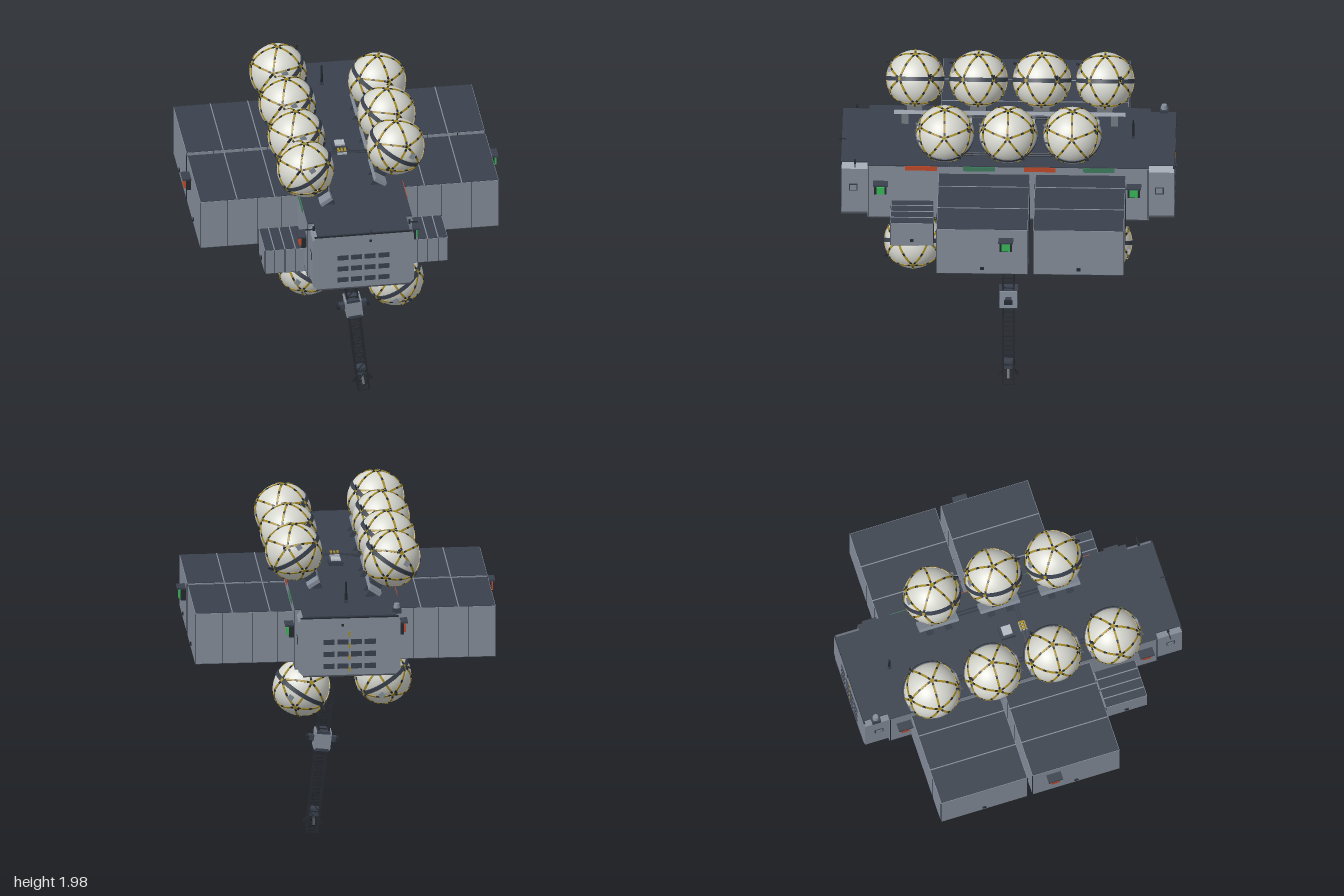
import * as THREE from 'three';
import { mergeGeometries } from 'three/addons/utils/BufferGeometryUtils.js';

const material = (name, color) => {
  const m = new THREE.MeshStandardMaterial({ color });
  m.name = name;
  return m;
};
const V = (x, y, z) => new THREE.Vector3(x, y, z);

export function createModel() {
  const grey = material('hull grey', 0x848d9a);
  const dark = material('deck slate', 0x3a414d);
  const belly = material('belly slate', 0x4a505a);
  const black = material('truss black', 0x252a31);
  const cream = material('tank cream', 0xd5d6ce);
  const yellow = material('band yellow', 0xa58b24);
  const green = material('signal green', 0x38b757);
  const red = material('signal red', 0xc04a2a);
  const teal = material('marker green', 0x3d7d5c);
  const pale = material('hatch pale', 0xb4bac2);

  const model = new THREE.Group();
  model.name = 'tankerStation';

  const add = (parent, name, geo, mat, x = 0, y = 0, z = 0) => {
    const mesh = new THREE.Mesh(geo, mat);
    mesh.name = name;
    mesh.position.set(x, y, z);
    parent.add(mesh);
    return mesh;
  };
  const box = (parent, name, mat, w, h, d, x, y, z) =>
    add(parent, name, new THREE.BoxGeometry(w, h, d), mat, x, y, z);
  // Geometry of a square bar between two points
  const bar = (a, b, w, h = w, up = V(0.01, 0.02, 1)) => {
    const g = new THREE.BoxGeometry(w, h, a.distanceTo(b));
    const m = new THREE.Matrix4().lookAt(b, a, up);
    return g.applyMatrix4(m.setPosition(a.clone().add(b).multiplyScalar(0.5)));
  };

  // ---- Hull: wide middle and chamfered ends
  const hull = new THREE.Group();
  hull.name = 'hull';
  model.add(hull);
  box(hull, 'hullMiddle', grey, 0.6, 0.35, 1.6, 0, 1.43, -0.01);
  const section = new THREE.Shape([[-0.29, 1.28], [-0.265, 1.255], [0.265, 1.255], [0.29, 1.28],
    [0.29, 1.575], [0.265, 1.603], [-0.265, 1.603], [-0.29, 1.575]].map(p => new THREE.Vector2(...p)));
  add(hull, 'hullEnds', new THREE.ExtrudeGeometry(section, { depth: 1.89, bevelEnabled: false }), grey, 0, 0, -0.952);
  for (const [y, mat] of [[1.607, dark], [1.253, belly]]) {
    box(hull, 'deckPlate', mat, 0.6, 0.008, 1.6, 0, y, -0.01);
    box(hull, 'endDeckPlate', mat, 0.53, 0.008, 1.894, 0, y, -0.007);
  }
  for (const s of [-1, 1]) {
    // louvres on both end faces
    const zEnd = s > 0 ? 0.938 : -0.952;
    for (let i = 0; i < 4; i++) for (let j = 0; j < 3; j++)
      box(hull, 'louvre', dark, 0.063, 0.03, 0.006, -0.118 + i * 0.078, 1.31 + j * 0.072, zEnd);
    box(hull, 'endTopTrim', black, 0.56, 0.008, 0.008, 0, 1.6, zEnd);
    box(hull, 'endPort', black, 0.014, 0.014, 0.006, 0.04, 1.555, zEnd);
    // side markers, alternating along the hull
    [0.485, 0.155, -0.19, -0.525].forEach((z, i) =>
      box(hull, 'sideMarker', i % 2 ? teal : red, 0.008, 0.028, 0.18, s * 0.301, 1.592, z * s));
    for (const z of [0.785, -0.805])
      box(hull, 'sideSeam', black, 0.005, 0.34, 0.004, s * 0.299, 1.43, z);
    for (const z of [0.87, -0.87]) {
      box(hull, 'sidePanelFrame', dark, 0.005, 0.045, 0.05, s * 0.291, 1.45, z);
      box(hull, 'sidePanel', grey, 0.006, 0.033, 0.038, s * 0.292, 1.45, z);
    }
  }
  for (let i = 0; i < 4; i++)
    box(hull, 'backStripe', yellow, 0.012, 0.028, 0.004, 0, 1.29 + i * 0.07, -0.952);

  // ---- Cargo containers and small lockers
  const container = (name, s, x0, x1, y0, y1, z0, z1, ribs, seams) => {
    const g = new THREE.Group();
    g.name = name;
    model.add(g);
    const w = x1 - x0, h = y1 - y0, d = z1 - z0;
    const cx = s * (x0 + x1) / 2, cy = (y0 + y1) / 2, cz = (z0 + z1) / 2;
    box(g, 'containerBody', grey, w, h, d, cx, cy, cz);
    box(g, 'containerRoof', dark, w - 0.006, 0.006, d - 0.006, cx, y1, cz);
    box(g, 'containerFloor', belly, w - 0.002, 0.006, d - 0.002, cx, y0, cz);
    for (const x of ribs) box(g, 'topRib', grey, 0.006, 0.009, d, s * x, y1, cz);
    for (const x of seams) box(g, 'endSeam', black, 0.003, h, d + 0.003, s * x, cy, cz);
    box(g, 'sideLatch', black, 0.012, 0.018, 0.022, s * x1, y0 + 0.035, cz);
    for (const z of [z0, z1]) box(g, 'sideEdge', black, 0.004, h, 0.004, s * x1, cy, z);
  };
  for (const s of [-1, 1]) {
    const ribs = [0.43, 0.645], seams = [0.39, 0.53, 0.7];
    container('rearContainer', s, 0.3, 0.857, 1.255, 1.555, -0.68, -0.165, ribs, seams);
    container('middleContainer', s, 0.3, 0.857, 1.255, 1.555, -0.135, 0.385, ribs, seams);
    container('frontLocker', s, 0.29, 0.525, 1.215, 1.365, 0.41, 0.655, [0.35, 0.41, 0.47], [0.35, 0.41, 0.47]);

    // navigation lights: green on the left, red on the right
    for (const [x, z] of [[0.3, 0.715], [0.3, -0.725], [0.857, -0.01]]) {
      const g = new THREE.Group();
      g.name = 'navigationLight';
      model.add(g);
      box(g, 'lightHousing', black, 0.03, 0.07, 0.07, s * (x + 0.013), 1.46, z);
      box(g, 'lightHood', dark, 0.052, 0.01, 0.085, s * (x + 0.024), 1.497, z);
      box(g, 'lightLens', s > 0 ? green : red, 0.016, 0.046, 0.046, s * (x + 0.032), 1.457, z);
    }
  }

  // ---- Spherical tanks with a geodesic net of striped bands
  const R = 0.162;
  const ico = new THREE.IcosahedronGeometry(1, 0).attributes.position;
  const nodes = [];
  for (let i = 0; i < ico.count; i++) {
    const p = new THREE.Vector3().fromBufferAttribute(ico, i);
    if (!nodes.some(q => q.distanceTo(p) < 0.01)) nodes.push(p);
  }
  const yellowParts = [], blackParts = [], stickParts = [];
  nodes.forEach((a, i) => {
    const p = a.clone().multiplyScalar(R);
    yellowParts.push(bar(p, a.clone().multiplyScalar(R + 0.006), 0.018));
    if (i % 3 === 1) {
      const side = V(-a.z, a.x, a.y).multiplyScalar(0.03);
      stickParts.push(bar(p, a.clone().multiplyScalar(R + 0.012).add(side), 0.01));
    }
    nodes.slice(i + 1).filter(b => a.distanceTo(b) < 1.1).forEach(b => {
      const n = 11;
      const at = t => a.clone().lerp(b, t).normalize().multiplyScalar(R + 0.001);
      for (let k = 0; k < n; k++) {
        const c = at((k + 0.5) / n);
        (k % 4 === 1 ? blackParts : yellowParts).push(bar(at(k / n), at((k + 1) / n), 0.011, 0.006, c));
      }
    });
  });
  const netYellow = mergeGeometries(yellowParts), netBlack = mergeGeometries(blackParts);
  const sticks = mergeGeometries(stickParts);
  const ball = new THREE.SphereGeometry(R, 40, 28);
  const strap = new THREE.CylinderGeometry(R + 0.005, R + 0.005, 0.024, 48);

  const tank = (x, y, z) => {
    const g = new THREE.Group();
    g.name = 'tank';
    g.position.set(x, y, z);
    const tilt = 0.575;
    g.rotation.z = -Math.sign(x) * (y > 1.4 ? tilt : Math.PI - tilt);
    model.add(g);
    add(g, 'tankShell', ball, cream);
    add(g, 'bandYellow', netYellow, yellow);
    add(g, 'bandDark', netBlack, black);
    add(g, 'handles', sticks, black);
    add(g, 'strap', strap, dark);
    // cradle that ties the tank to the hull
    box(g, 'cradlePad', dark, 0.07, 0.03, 0.09, 0, -0.17, 0);
    box(g, 'cradlePlate', grey, 0.075, 0.022, 0.235, 0, -0.192, 0);
    for (const s of [-1, 1]) box(g, 'cradleLeg', dark, 0.045, 0.07, 0.04, 0, -0.225, s * 0.055);
    // valve boxes on the flanks
    for (const s of [-1, 1]) box(g, 'valveBox', grey, 0.03, 0.03, 0.014, s * 0.055, 0.05, s * 0.146);
  };
  [-0.55, -0.19, 0.17, 0.53].forEach(z => tank(-0.275, 1.816, z));
  [-0.375, -0.01, 0.35].forEach(z => tank(0.27, 1.812, z));
  [0.345, -0.365].forEach(z => tank(-0.24, 1.055, z));
  [0.53, -0.55].forEach(z => tank(0.24, 1.055, z));

  // ---- Pipe rails and cross arches on roof and belly
  const pipes = [];
  for (const [y, d, front, back] of [[1.615, 1, 0.4, -0.4], [1.245, -1, 0.3, -0.3]]) for (const s of [-1, 1]) {
    for (const x of [0.175, 0.195]) pipes.push(bar(V(s * x, y, back), V(s * x, y, front), 0.007));
    for (const z of [0.07, 0.09]) pipes.push(bar(V(0, y + d * 0.028, z), V(s * 0.29, y - d * 0.005, z), 0.007));
  }
  add(model, 'pipeRails', mergeGeometries(pipes), dark);

  // ---- Roof and belly fittings
  box(model, 'roofHatchBase', dark, 0.085, 0.03, 0.085, 0, 1.62, -0.015);
  box(model, 'roofHatch', pale, 0.055, 0.012, 0.055, 0, 1.638, -0.015);
  box(model, 'roofWarningPlate', pale, 0.055, 0.012, 0.04, 0, 1.634, 0.08);
  for (const x of [-0.019, 0, 0.019]) box(model, 'warningStripe', yellow, 0.012, 0.006, 0.036, x, 1.65, 0.08);
  add(model, 'antennaMast', new THREE.CylinderGeometry(0.005, 0.009, 0.13, 8), black, 0, 1.67, -0.715);
  box(model, 'antennaFoot', dark, 0.022, 0.02, 0.022, 0, 1.617, -0.715);
  box(model, 'sensorBase', dark, 0.05, 0.03, 0.05, -0.275, 1.615, -0.885);
  add(model, 'sensorHead', new THREE.CylinderGeometry(0.015, 0.02, 0.025, 10), grey, -0.275, 1.642, -0.885);
  box(model, 'frontProbe', black, 0.005, 0.005, 0.04, 0.045, 1.612, 0.935);
  for (const s of [-1, 1]) {
    box(model, 'sideProbe', black, 0.05, 0.006, 0.006, s * 0.3, 1.61, 0.86);
    box(model, 'cornerBracket', black, 0.012, 0.025, 0.012, s * 0.275, 1.615, 0.86);
  }
  box(model, 'bellySensor', dark, 0.045, 0.04, 0.045, 0, 1.228, 0.18);

  // ---- Lattice boom hanging below the hull
  const boom = new THREE.Group();
  boom.name = 'boom';
  boom.position.set(0.003, 1.25, -0.008);
  boom.rotation.z = 0.107;
  model.add(boom);
  const L = 1.243, W = 0.031, bays = 20;
  const lattice = [];
  const corners = [[W, W], [W, -W], [-W, -W], [-W, W]];
  corners.forEach(([x, z], c) => {
    const [nx, nz] = corners[(c + 1) % 4];
    lattice.push(bar(V(x, 0, z), V(x, -L, z), 0.009));
    for (let k = 0; k <= bays; k++) {
      const y = -k * L / bays, y2 = -(k + 1) * L / bays;
      lattice.push(bar(V(x, y, z), V(nx, y, nz), 0.006, 0.006, V(0, 1, 0)));
      // parallel diagonals on the front and back faces only
      if (k < bays && c % 2) lattice.push(bar(V(W, y, z), V(-W, y2, z), 0.005));
    }
  });
  add(boom, 'boomLattice', mergeGeometries(lattice), black);
  box(boom, 'boomRoot', dark, 0.1, 0.03, 0.1, 0, -0.005, 0);
  box(boom, 'boomNode', grey, 0.095, 0.105, 0.1, 0, -0.69, 0);
  for (const y of [-0.64, -0.742]) box(boom, 'nodeCollar', dark, 0.075, 0.015, 0.108, 0, y, 0);
  for (const s of [-1, 1]) {
    box(boom, 'nodeArm', dark, 0.04, 0.03, 0.035, s * 0.06, -0.685, 0);
    box(boom, 'nodeTip', black, 0.018, 0.022, 0.05, s * 0.085, -0.685, 0);
  }
  // splayed grips at the tip
  const grips = [];
  for (const s of [-1, 1]) {
    grips.push(bar(V(0, -1.13, 0), V(s * 0.055, -1.195, 0), 0.014));
    grips.push(bar(V(0, -1.13, 0), V(0, -1.195, s * 0.055), 0.014, 0.014, V(1, 0, 0)));
  }
  add(boom, 'boomGrips', mergeGeometries(grips), black);
  box(boom, 'gripHub', dark, 0.05, 0.045, 0.05, 0, -1.125, 0);

  return model;
}
